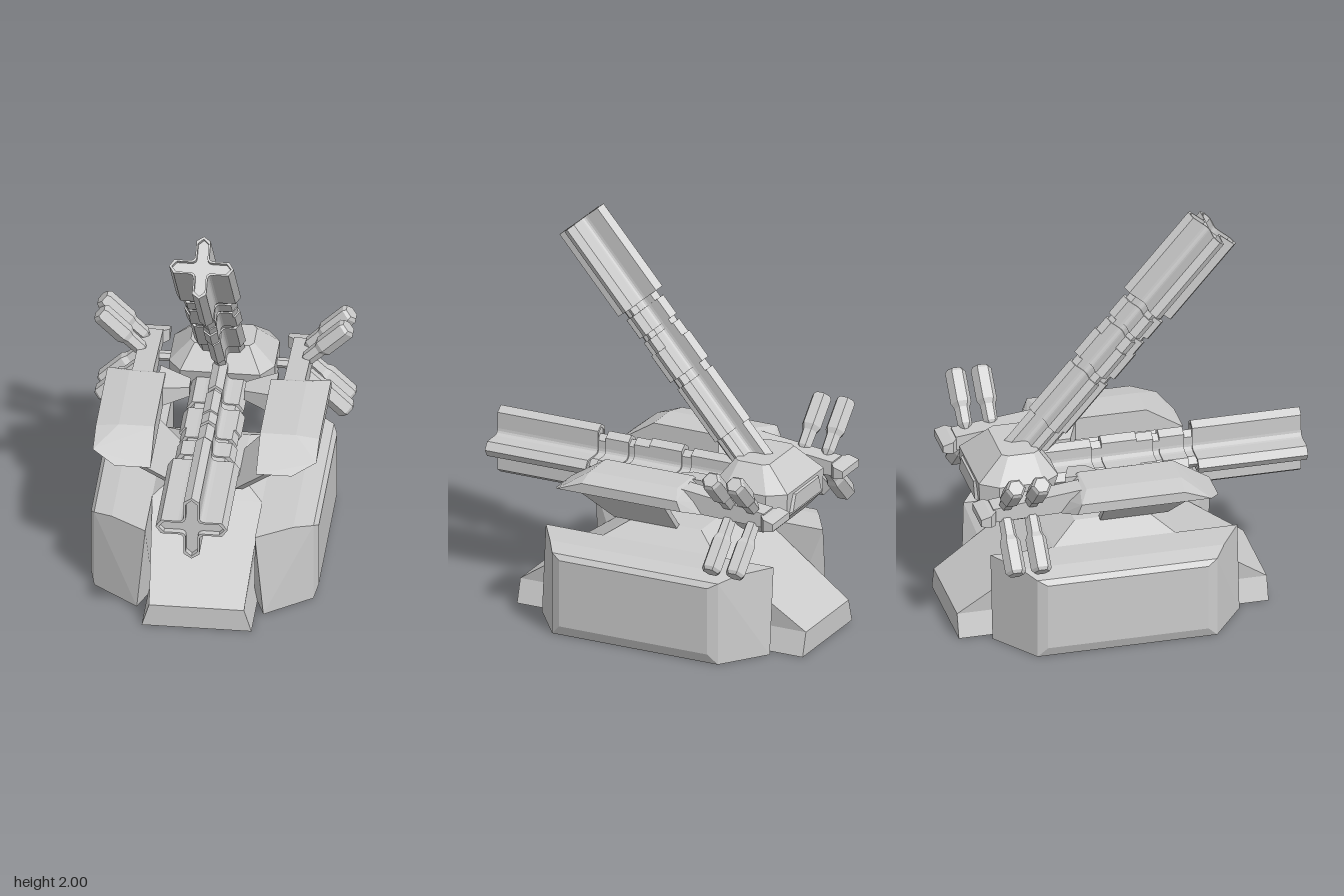
import * as THREE from 'three';
import { ConvexGeometry } from 'three/addons/geometries/ConvexGeometry.js';

const material = new THREE.MeshStandardMaterial({ color: 0xcccccc, flatShading: true, side: THREE.DoubleSide });

function add(parent, geometry, name) {
  const mesh = new THREE.Mesh(geometry, material);
  mesh.name = name;
  parent.add(mesh);
  return mesh;
}

// Convex solid from corner points; s mirrors it in x
function solid(parent, name, points, s = 1) {
  return add(parent, new ConvexGeometry(points.map(([x, y, z]) => new THREE.Vector3(x * s, y, z))), name);
}

// Symmetric rectangular layers with optional cut corners: [y, halfWidth, zBack, zFront, cut]
function layers(rows) {
  const points = [];
  for (const [y, w, z0, z1, c = 0] of rows) {
    for (const s of [-1, 1]) {
      points.push([s * (w - c), y, z0], [s * (w - c), y, z1]);
      if (c) points.push([s * w, y, z0 + c * 1.4], [s * w, y, z1 - c * 1.4]);
    }
  }
  return points;
}

// Cross outline with pointed arms and filleted inner corners
function crossPath(Type, r, w) {
  const path = new Type();
  const f = w + 0.028;
  const quarter = [[w, -f], [f, -w], [r - 0.025, -w], [r, 0], [r - 0.025, w], [f, w]];
  for (let i = 0; i < 4; i++) {
    const a = (i * Math.PI) / 2;
    const c = Math.round(Math.cos(a)), s = Math.round(Math.sin(a));
    const p = quarter.map(([x, y]) => [x * c - y * s, x * s + y * c]);
    if (i === 0) path.moveTo(...p[0]);
    path.quadraticCurveTo(w * c + w * s, w * s - w * c, ...p[1]);
    for (let k = 2; k < 6; k++) path.lineTo(...p[k]);
  }
  return path;
}

function crossBar(parent, name, r, w, z0, z1, hollow = false) {
  const shape = crossPath(THREE.Shape, r, w);
  if (hollow) shape.holes.push(crossPath(THREE.Path, r - 0.014, w - 0.009));
  const geometry = new THREE.ExtrudeGeometry(shape, { depth: z1 - z0, bevelEnabled: false, curveSegments: 4 });
  geometry.translate(0, 0, z0);
  return add(parent, geometry, name);
}

// Gun pointing along +z, with its muzzle end at the given length
function makeGun(name, length, scale) {
  const gun = new THREE.Group();
  gun.name = name;
  const L = length / scale;
  crossBar(gun, 'muzzle', 0.17, 0.037, L - 0.53, L, true);
  crossBar(gun, 'muzzleCore', 0.163, 0.033, L - 0.525, L - 0.03);
  crossBar(gun, 'barrelCore', 0.122, 0.03, 0.04, L - 0.5);
  for (const [from, to, r] of [[0.57, 0.69, 0.142], [0.72, 0.8, 0.137], [0.8, 0.97, 0.147], [1.02, 1.36, 0.136]]) {
    crossBar(gun, 'barrelSleeve', r, 0.036, L - to, L - from);
  }
  gun.scale.setScalar(scale);
  return gun;
}

// Six-sided canister from a to b, with a pointed root and a wider outer end
function canister(parent, a, b) {
  const start = new THREE.Vector3(...a), dir = new THREE.Vector3(...b).sub(start);
  const len = dir.length();
  const profile = [[0, 0], [0.035, 0.05], [0.037, 0.13], [0.05, 0.155], [0.05, len - 0.015], [0.038, len], [0, len]];
  const geometry = new THREE.LatheGeometry(profile.map(([r, y]) => new THREE.Vector2(r, y)), 6);
  const mesh = add(parent, geometry, 'canister');
  mesh.position.copy(start);
  mesh.quaternion.setFromUnitVectors(new THREE.Vector3(0, 1, 0), dir.normalize());
}

export function createModel() {
  const model = new THREE.Group();
  model.name = 'gunTurret';

  // Central base hull
  solid(model, 'hullSkirt', layers([[0, 0.26, -0.86, 0.645], [0.115, 0.225, -0.86, 0.645]]));
  solid(model, 'hullBody', layers([[0.115, 0.225, -0.86, 0.645], [0.43, 0.26, -0.4, 0.19], [0.5, 0.15, -0.27, 0.08]]));

  // Turret head with a rear panel
  solid(model, 'head', layers([
    [0.57, 0.2, -0.66, -0.47, 0.03],
    [0.66, 0.25, -0.74, -0.4, 0.06],
    [0.78, 0.25, -0.745, -0.36, 0.06],
    [0.89, 0.15, -0.62, -0.44, 0.02],
  ]));
  solid(model, 'rearPanel', [
    [-0.17, 0.67, -0.73], [0.17, 0.67, -0.73], [-0.14, 0.77, -0.73], [0.14, 0.77, -0.73],
    [-0.15, 0.68, -0.755], [0.15, 0.68, -0.755], [-0.12, 0.76, -0.755], [0.12, 0.76, -0.755],
  ]);

  // Level gun and raised gun
  const levelGun = makeGun('levelGun', 1.36, 1);
  levelGun.position.set(0, 0.705, -0.5);
  const raisedGun = makeGun('raisedGun', 1.514, 0.9);
  raisedGun.position.set(0, 0.75, -0.55);
  raisedGun.rotation.x = -0.862;
  model.add(levelGun, raisedGun);

  for (const s of [1, -1]) {
    const side = new THREE.Group();
    side.name = s > 0 ? 'leftSide' : 'rightSide';
    model.add(side);

    // Side block of the base, the same at front and back
    const block = [];
    for (const [x, y, d] of [
      [0.26, 0.43, 0.6], [0.3, 0, 0.6], [0.24, 0, 0.44], [0.43, 0.43, 0.493],
      [0.52, 0.41, 0.437], [0.52, 0, 0.437], [0.54, 0.385, 0.39], [0.54, 0.05, 0.39],
    ]) block.push([x, y, -0.107 + d], [x, y, -0.107 - d]);
    solid(side, 'baseBlock', block, s);

    // Armoured fender
    const fender = [];
    for (const [x, y, front, back] of [
      [0.25, 0.7, 0.36, -0.4], [0.42, 0.7, 0.36, -0.4], [0.53, 0.745, 0.3, -0.35],
      [0.53, 0.795, 0.17, -0.33], [0.42, 0.815, 0.18, -0.28], [0.25, 0.815, 0.18, -0.28],
    ]) fender.push([x, y, front], [x, y, back]);
    solid(side, 'fender', fender, s);

    // Slanted plate carrying the fender
    const plate = [];
    for (const t of [0, 0.035]) {
      plate.push([0.33 + t, 0.705, 0.32], [0.33 + t, 0.705, -0.16], [0.13 + t, 0.49, 0.18], [0.13 + t, 0.49, -0.15]);
    }
    solid(side, 'supportPlate', plate, s);

    // Bracket, rear beam, tail fin and axle
    solid(side, 'bracket', [
      [0.13, 0.73, -0.3], [0.13, 0.73, -0.22], [0.13, 0.78, -0.3], [0.13, 0.78, -0.22],
      [0.28, 0.7, -0.35], [0.28, 0.7, -0.15], [0.28, 0.81, -0.35], [0.28, 0.81, -0.15],
    ], s);
    const beam = [];
    for (const [z, y0, y1] of [[-0.73, 0.69, 0.76], [-0.28, 0.7, 0.81]]) {
      for (const x of [0.31, 0.41]) beam.push([x, y0, z], [x, y1, z]);
    }
    solid(side, 'rearBeam', beam, s);
    const fin = [];
    for (const [z, x0, x1, y0, y1] of [[-0.8, 0.28, 0.455, 0.7, 0.735], [-0.75, 0.28, 0.455, 0.69, 0.75], [-0.72, 0.32, 0.42, 0.68, 0.755]]) {
      for (const x of [x0, x1]) fin.push([x, y0, z], [x, y1, z]);
    }
    solid(side, 'tailFin', fin, s);
    const axle = add(side, new THREE.CylinderGeometry(0.025, 0.025, 0.14, 6), 'axle');
    axle.rotation.z = Math.PI / 2;
    axle.position.set(s * 0.28, 0.725, -0.56);

    // Four canisters in two crossed pairs
    for (const z of [-0.665, -0.54]) {
      for (const up of [1, -1]) canister(side, [s * 0.36, 0.73 + up * 0.01, z], [s * 0.59, 0.73 + up * 0.235, z]);
    }
  }
  return model;
}
